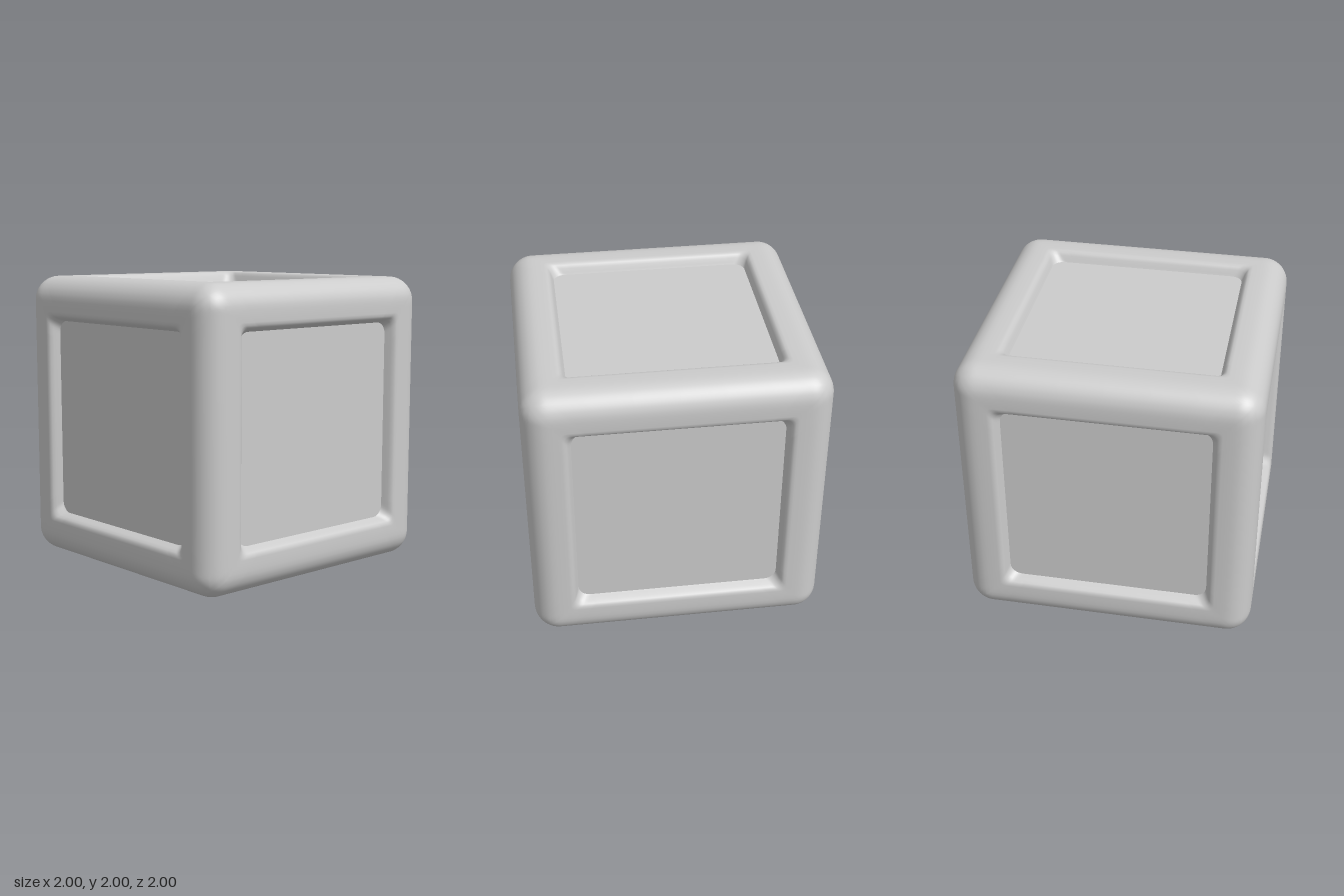
import * as THREE from 'three';
import { mergeGeometries, mergeVertices } from 'three/addons/utils/BufferGeometryUtils.js';

const EDGE_R = 0.17;   // rounding of the cube's outer edges
const FLOOR_H = 0.69;  // half size of a recessed panel
const FLOOR_Z = 0.925; // distance of a panel from the cube's centre
const FLOOR_R = 0.08;  // corner rounding of a panel

// pulls a point of a square or cube of half size h onto its rounded version
function roundOff(p, h, r) {
  const core = p.clone().clampScalar(-(h - r), h - r);
  return p.clone().sub(core).setLength(r).add(core);
}

// positions along one side of a ring, denser towards the corners
const half = [0.3, 0.6, 0.8, 0.83, 0.86, 0.885, 0.91, 0.93, 0.95, 0.975];
const steps = [-1, ...half.map((t) => -t).reverse(), 0, ...half];

// a closed square ring of half size h, counter-clockwise seen from +z
function ring(h, shape) {
  const pts = [];
  for (let side = 0; side < 4; side++) {
    const a = (side * Math.PI) / 2;
    const c = Math.round(Math.cos(a));
    const s = Math.round(Math.sin(a));
    for (const t of steps) pts.push(shape(c * h - s * h * t, s * h + c * h * t));
  }
  return pts;
}

function recessRing(h, r, z) {
  return ring(h, (x, y) => {
    const q = roundOff(new THREE.Vector2(x, y), h, r);
    return new THREE.Vector3(q.x, q.y, z);
  });
}

function outerRing(h) {
  return ring(h, (x, y) => roundOff(new THREE.Vector3(x, y, 1), 1, EDGE_R));
}

// skins a list of rings running from the inside outwards
function loft(rings) {
  const n = rings[0].length;
  const index = [];
  for (let i = 0; i < rings.length - 1; i++) {
    for (let j = 0; j < n; j++) {
      const a = i * n + j;
      const b = i * n + ((j + 1) % n);
      index.push(a, a + n, b + n, a, b + n, b);
    }
  }
  const geo = new THREE.BufferGeometry().setFromPoints(rings.flat());
  geo.setIndex(index);
  return geo;
}

export function createModel() {
  const group = new THREE.Group();
  group.name = 'panelledCube';
  const material = new THREE.MeshStandardMaterial({ color: 0xcccccc });

  // one side of the frame: recess wall, soft lip, flat border, rounded edge
  const sideGeo = loft([
    recessRing(FLOOR_H, FLOOR_R, FLOOR_Z),
    recessRing(0.697, 0.072, 0.94),
    recessRing(0.708, 0.06, 0.967),
    recessRing(0.72, 0.05, 0.987),
    recessRing(0.735, 0.04, 0.997),
    recessRing(0.755, 0.035, 1),
    ...[0.8, 0.83, 0.86, 0.885, 0.91, 0.93, 0.95, 0.975, 1].map(outerRing),
  ]);

  // flat recessed panel
  const outline = recessRing(FLOOR_H, FLOOR_R, 0).map((p) => new THREE.Vector2(p.x, p.y));
  const panelGeo = new THREE.ShapeGeometry(new THREE.Shape(outline));
  panelGeo.translate(0, 0, FLOOR_Z);

  const q = Math.PI / 2;
  const sides = [
    ['front', 0, 0], ['left', 0, q], ['back', 0, 2 * q],
    ['right', 0, -q], ['top', -q, 0], ['bottom', q, 0],
  ];
  const frameParts = [];
  for (const [name, rx, ry] of sides) {
    frameParts.push(sideGeo.clone().rotateX(rx).rotateY(ry));
    const panel = new THREE.Mesh(panelGeo.clone().rotateX(rx).rotateY(ry), material);
    panel.name = name + 'Panel';
    panel.position.y = 1;
    group.add(panel);
  }

  // weld the six sides so the rounded edges shade smoothly
  const frameGeo = mergeVertices(mergeGeometries(frameParts), 1e-4);
  frameGeo.computeVertexNormals();
  const frame = new THREE.Mesh(frameGeo, material);
  frame.name = 'frame';
  frame.position.y = 1;
  group.add(frame);
  return group;
}
